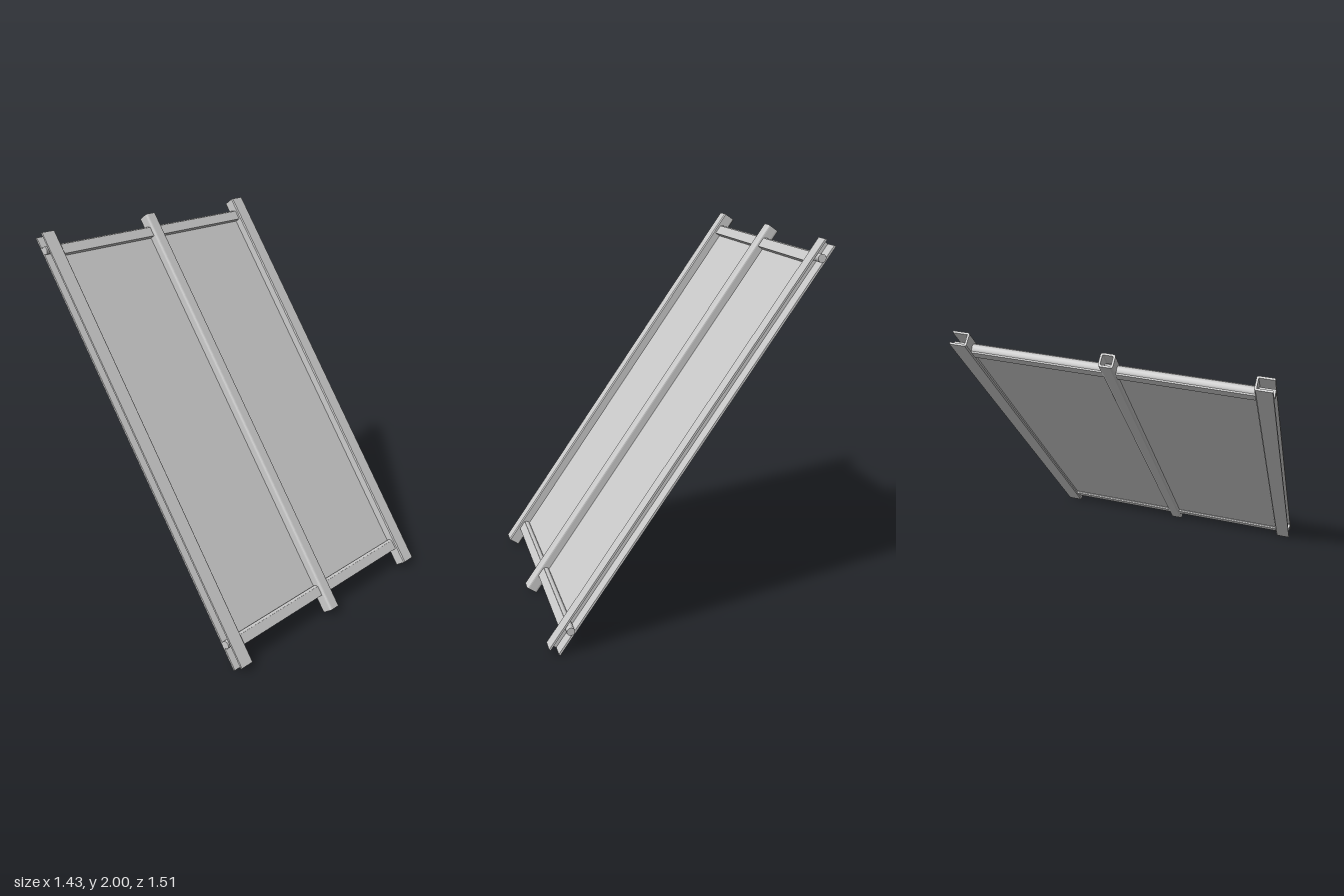
import * as THREE from 'three';

const LENGTH = 2.39;   // along the slope
const HALF = 0.034;    // half thickness of the rails

export function createModel() {
  const model = new THREE.Group();
  const grey = new THREE.MeshStandardMaterial({ color: 0xcccccc });

  // Everything is built upright (y = up the slope, x = outward normal), then tilted.
  const frame = new THREE.Group();
  frame.name = 'tiltedFrame';
  frame.position.y = 1;
  frame.rotation.z = THREE.MathUtils.degToRad(35);
  model.add(frame);

  const add = (name, geometry, x = 0, y = 0, z = 0) => {
    const mesh = new THREE.Mesh(geometry, grey);
    mesh.name = name;
    mesh.position.set(x, y, z);
    frame.add(mesh);
  };

  // Sweep a cross-section along the slope
  const rail = (name, shape, z) => {
    const g = new THREE.ExtrudeGeometry(shape, { depth: LENGTH, bevelEnabled: false, curveSegments: 4 });
    g.translate(0, 0, -LENGTH / 2);
    g.rotateX(-Math.PI / 2);
    add(name, g, 0, 0, z);
  };

  // Side rails: channels open to the outside, with softened inner corners
  const w = 0.082, t = 0.01, c = 0.006;
  const channel = [
    [-HALF, w], [-HALF, c], [-HALF + c, 0], [HALF - c, 0], [HALF, c], [HALF, w],
    [HALF - t, w], [HALF - t, t], [-HALF + t, t], [-HALF + t, w],
  ];
  for (const side of [1, -1]) {
    const pts = channel.map(([x, y]) => new THREE.Vector2(x, -side * y));
    rail(side > 0 ? 'leftRail' : 'rightRail', new THREE.Shape(pts), side * 0.663 + 0.004);
  }

  // Middle rail: hollow tube with rounded corners
  const rounded = (path, a, b, r) => {
    path.moveTo(-a + r, -b);
    path.lineTo(a - r, -b);
    path.quadraticCurveTo(a, -b, a, -b + r);
    path.lineTo(a, b - r);
    path.quadraticCurveTo(a, b, a - r, b);
    path.lineTo(-a + r, b);
    path.quadraticCurveTo(-a, b, -a, b - r);
    path.lineTo(-a, -b + r);
    path.quadraticCurveTo(-a, -b, -a + r, -b);
    return path;
  };
  const tube = rounded(new THREE.Shape(), HALF, 0.035, 0.014);
  tube.holes.push(rounded(new THREE.Path(), HALF - t, 0.035 - t, 0.006));
  rail('middleRail', tube, 0.003);

  // Thin sheet between the side rails
  add('panel', new THREE.BoxGeometry(0.006, 2.2, 1.325), -0.016, 0.01, 0.004);

  // Cross bars, with pins running out through the side rails
  for (const [name, y] of [['lower', -1.077], ['upper', 1.095]]) {
    add(name + 'CrossBar', new THREE.BoxGeometry(0.047, 0.052, 1.326), -0.0065, y, 0.004);
    const pin = new THREE.CylinderGeometry(0.021, 0.021, 1.506, 12);
    pin.rotateX(Math.PI / 2);
    add(name + 'Pin', pin, -0.004, y + 0.016, 0);
  }

  return model;
}
